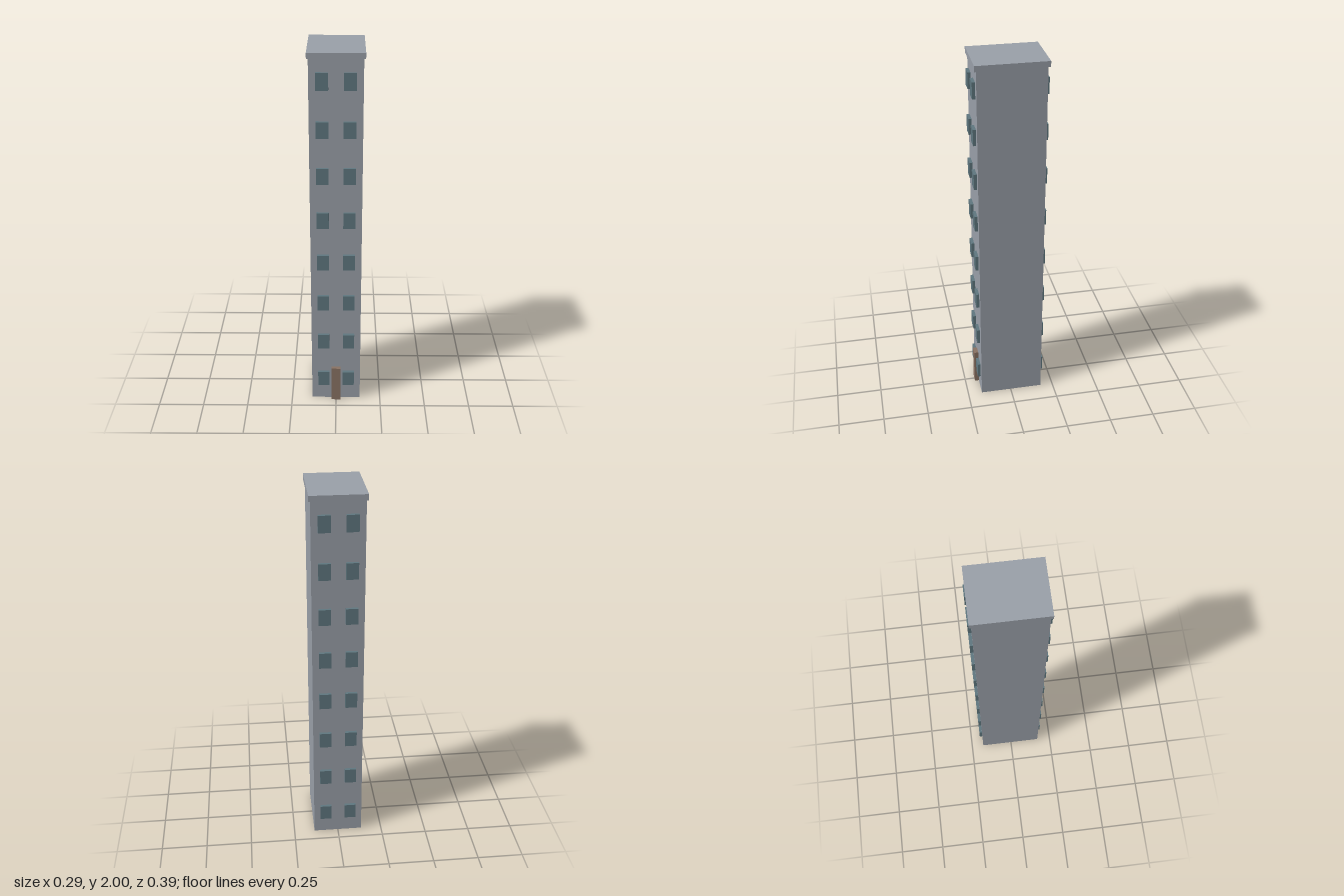
import * as THREE from 'three';

const wall = new THREE.MeshStandardMaterial({ color: 0x9aa0a9 });
wall.name = 'concreteGrey';
const glass = new THREE.MeshStandardMaterial({ color: 0x607880 });
glass.name = 'windowTeal';
const wood = new THREE.MeshStandardMaterial({ color: 0x8a7364 });
wood.name = 'doorBrown';

const FLOORS = 8;
const FLOOR_HEIGHT = 0.246;
const CENTRE_Z = -0.004; // the door pushes the tower slightly back
const HALF_DEPTH = 0.175;

// Box given by its size and centre
function box(name, material, w, h, d, x, y, z) {
  const mesh = new THREE.Mesh(new THREE.BoxGeometry(w, h, d), material);
  mesh.name = name;
  mesh.position.set(x, y, z);
  return mesh;
}

export function createModel() {
  const tower = new THREE.Group();
  tower.name = 'apartmentTower';

  // Main block and overhanging roof slab
  tower.add(box('towerBody', wall, 0.27, 1.97, 2 * HALF_DEPTH, 0, 0.985, CENTRE_Z));
  tower.add(box('roofSlab', wall, 0.287, 0.03, 0.37, 0, 1.985, CENTRE_Z));

  // Two raised windows per floor, front and back
  for (const side of [1, -1]) {
    const windows = new THREE.Group();
    windows.name = side > 0 ? 'frontWindows' : 'backWindows';
    for (let floor = 0; floor < FLOORS; floor++) {
      for (const x of [-0.069, 0.069]) {
        const z = CENTRE_Z + side * (HALF_DEPTH + 0.006);
        windows.add(box('window', glass, 0.063, 0.087, 0.02, x, 0.138 + floor * FLOOR_HEIGHT, z));
      }
    }
    tower.add(windows);
  }

  // Entrance door, standing a little prouder than the windows
  tower.add(box('frontDoor', wood, 0.049, 0.21, 0.03, 0, 0.105, CENTRE_Z + HALF_DEPTH + 0.008));

  return tower;
}
